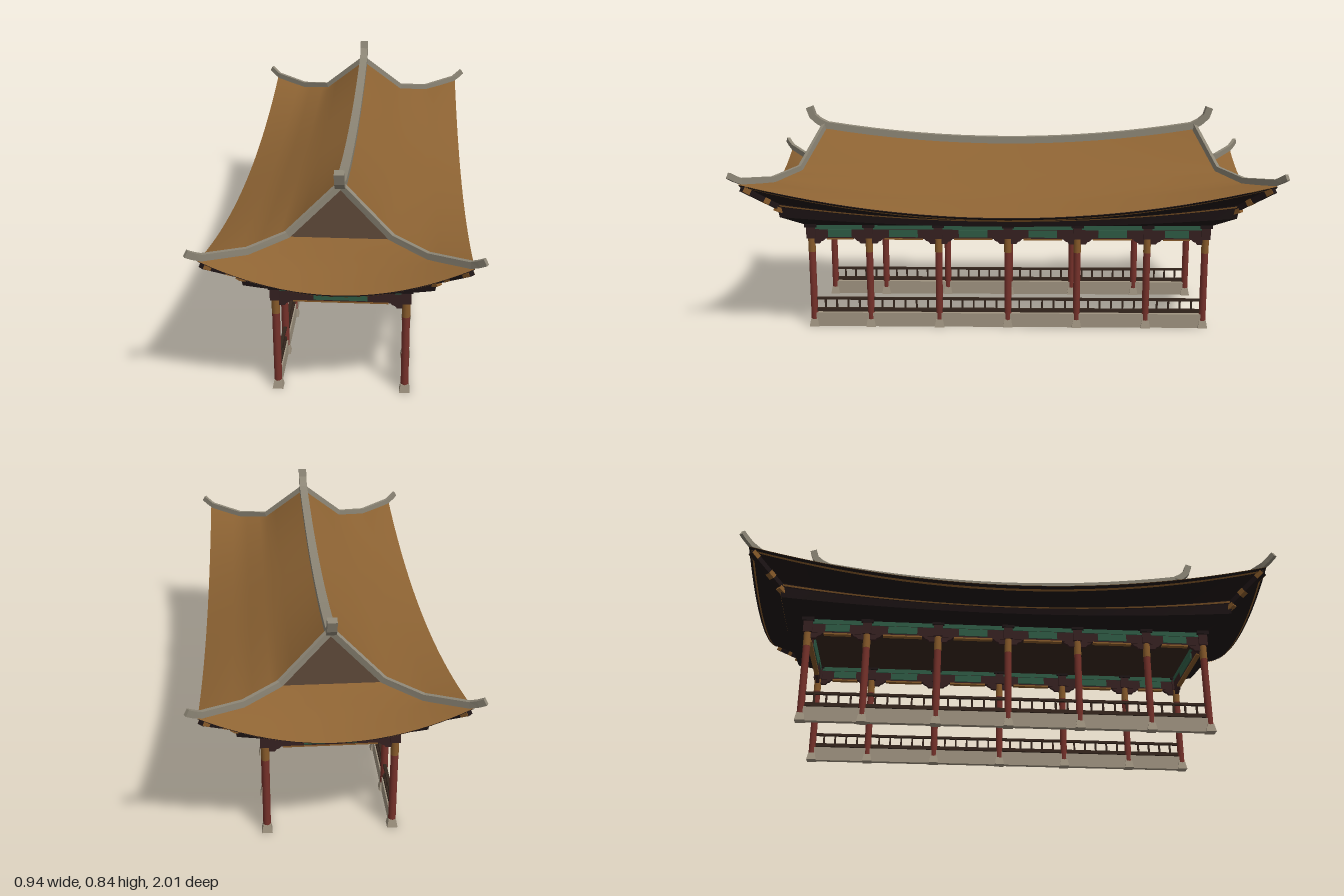
import * as THREE from 'three';

const mat = (name, color, side = THREE.FrontSide) => {
  const m = new THREE.MeshStandardMaterial({ color, side });
  m.name = name;
  return m;
};

export function createModel() {
  const root = new THREE.Group();
  root.name = 'pavilion';
  const M = {
    tile: mat('roof tile', 0x8d6333, THREE.DoubleSide),
    gable: mat('gable brown', 0x523f31, THREE.DoubleSide),
    ridge: mat('ridge grey', 0x8d8676),
    stone: mat('stone', 0x9f9380),
    red: mat('column red', 0x75312a),
    beam: mat('beam maroon', 0x352020),
    green: mat('painted green', 0x2e5a44),
    dark: mat('eave black brown', 0x1d1415, THREE.DoubleSide),
    gold: mat('gold trim', 0x875a2a, THREE.DoubleSide),
    timber: mat('dark timber', 0x35261d),
  };
  const add = (name, geo, material, x = 0, y = 0, z = 0, parent = root) => {
    const m = new THREE.Mesh(geo, material);
    m.name = name;
    m.position.set(x, y, z);
    parent.add(m);
    return m;
  };
  const box = (name, w, h, d, material, x, y, z, parent) =>
    add(name, new THREE.BoxGeometry(w, h, d), material, x, y, z, parent);

  // Surface from f(u, v) -> [x, y, z], u and v in 0..1
  const grid = (f, nu, nv) => {
    const pos = [], idx = [];
    for (let i = 0; i <= nu; i++) for (let j = 0; j <= nv; j++) pos.push(...f(i / nu, j / nv));
    for (let i = 0; i < nu; i++) for (let j = 0; j < nv; j++) {
      const a = i * (nv + 1) + j, b = a + nv + 1;
      idx.push(a, a + 1, b, b, a + 1, b + 1);
    }
    const g = new THREE.BufferGeometry();
    g.setAttribute('position', new THREE.Float32BufferAttribute(pos, 3));
    g.setIndex(idx);
    g.computeVertexNormals();
    return g;
  };

  // Rectangular bar swept along points; flat faced, closed at both ends
  const bar = (pts, w, h) => {
    const P = pts.map(p => new THREE.Vector3(...p)), up = new THREE.Vector3(0, 1, 0);
    const flat = P[P.length - 1].clone().sub(P[0]).setY(0).normalize();
    const side = up.clone().cross(flat).normalize();
    const rings = P.map((p, i) => {
      const t = P[Math.min(i + 1, P.length - 1)].clone().sub(P[Math.max(i - 1, 0)]).normalize();
      const n = t.clone().cross(side).normalize();
      return [[-1, -1], [1, -1], [1, 1], [-1, 1]].map(([a, b]) =>
        p.clone().addScaledVector(side, a * w / 2).addScaledVector(n, b * h / 2));
    });
    const pos = [];
    const quad = (a, b, c, d) => [a, b, c, a, c, d].forEach(v => pos.push(v.x, v.y, v.z));
    for (let i = 0; i + 1 < rings.length; i++) for (let k = 0; k < 4; k++) {
      const A = rings[i], B = rings[i + 1], l = (k + 1) % 4;
      quad(A[k], A[l], B[l], B[k]);
    }
    const S = rings[0], E = rings[rings.length - 1];
    quad(S[3], S[2], S[1], S[0]);
    quad(E[0], E[1], E[2], E[3]);
    const g = new THREE.BufferGeometry();
    g.setAttribute('position', new THREE.Float32BufferAttribute(pos, 3));
    g.computeVertexNormals();
    return g;
  };

  // Roof profile stations: x, hip z, hip y, long side middle y, short side middle y
  const hip = [[0, 0.73, 0.76, 0.7, 0.76], [0.17, 0.8, 0.61, 0.592, 0.61],
    [0.29, 0.878, 0.585, 0.53, 0.55], [0.43, 0.97, 0.6, 0.48, 0.493]];
  const station = (s) => {
    const i = Math.min(Math.floor(s), 2), f = s - i;
    return hip[i].map((a, k) => a + (hip[i + 1][k] - a) * f);
  };

  for (const s of [-1, 1]) {
    // Long slopes
    add('longRoofSlope', grid((u, v) => {
      const [x, z, ye, ym] = station(u * 3), t = v * 2 - 1;
      return [s * x, ym + (ye - ym) * t * t, s * z * t];
    }, 12, 32), M.tile);
    // Short end skirts
    add('endRoofSkirt', grid((u, v) => {
      const [x, z, ye, , ym] = station(1 + u * 2), t = v * 2 - 1;
      return [-s * x * t, ym + (ye - ym) * t * t, s * z];
    }, 8, 20), M.tile);
    // Leaning gable triangles
    const gable = new THREE.BufferGeometry();
    gable.setAttribute('position', new THREE.Float32BufferAttribute(
      [-0.17 * s, 0.608, 0.801 * s, 0.17 * s, 0.608, 0.801 * s, 0, 0.762, 0.731 * s], 3));
    gable.computeVertexNormals();
    add('gable', gable, M.gable);
    // Hip ridges with upturned tips
    for (const q of [-1, 1]) {
      add('hipRidge', bar([[0, 0.768, 0.73], [0.17, 0.618, 0.8], [0.29, 0.594, 0.878],
        [0.42, 0.611, 0.963], [0.442, 0.624, 0.98], [0.461, 0.638, 0.994]]
        .map(([x, y, z]) => [x * s, y, z * q]), 0.014, 0.023), M.ridge);
    }
  }

  // Main ridge, sagging in the middle with raised ends
  const ridgePts = [[0, 0.835, -0.792], [0, 0.8, -0.78], [0, 0.778, -0.755]];
  for (let i = 0; i <= 16; i++) {
    const t = i / 8 - 1;
    ridgePts.push([0, 0.705 + 0.058 * t * t, 0.725 * t]);
  }
  ridgePts.push([0, 0.778, 0.755], [0, 0.8, 0.78], [0, 0.835, 0.792]);
  add('mainRidge', bar(ridgePts, 0.033, 0.026), M.ridge);

  // Eave rings: half width, half depth, corner y, long middle y, short middle y
  const ringPoint = (r, k, t) => {
    const s = k < 2 ? 1 : -1, long = k % 2 === 0, m = long ? r[3] : r[4];
    const y = m + (r[2] - m) * t * t;
    return long ? [s * r[0], y, -s * r[1] * t] : [s * r[0] * t, y, s * r[1]];
  };
  const band = (name, a, b, material) => {
    for (let k = 0; k < 4; k++) {
      add(name, grid((u, v) => {
        const A = ringPoint(a, k, v * 2 - 1), B = ringPoint(b, k, v * 2 - 1);
        return A.map((c, i) => c + (B[i] - c) * u);
      }, 1, 24), material);
    }
  };
  const rings = [
    [0.43, 0.97, 0.598, 0.478, 0.491], [0.412, 0.952, 0.586, 0.466, 0.479],
    [0.325, 0.865, 0.51, 0.447, 0.468], [0.32, 0.86, 0.495, 0.442, 0.455],
    [0.314, 0.854, 0.455, 0.421, 0.432], [0.235, 0.775, 0.408, 0.406, 0.406],
  ];
  for (let i = 0; i < 5; i++) band('eaveSoffit', rings[i], rings[i + 1], M.dark);
  band('eaveGoldLine', [0.421, 0.961, 0.590, 0.470, 0.483], [0.414, 0.954, 0.585, 0.465, 0.478], M.gold);
  band('bracketGoldLine', [0.3255, 0.8655, 0.506, 0.446, 0.465], [0.323, 0.863, 0.499, 0.442, 0.458], M.gold);

  // Corner beams under the hips with gold ends
  for (const sx of [-1, 1]) for (const sz of [-1, 1]) {
    const corner = (name, pts, w, h, m) =>
      add(name, bar(pts.map(([x, y, z]) => [x * sx, y, z * sz]), w, h), m);
    corner('cornerBeam', [[0.24, 0.43, 0.78], [0.33, 0.508, 0.87], [0.42, 0.583, 0.96]], 0.02, 0.022, M.dark);
    corner('cornerBeamEnd', [[0.4, 0.568, 0.94], [0.418, 0.584, 0.958]], 0.024, 0.024, M.gold);
    corner('cornerBeamCollar', [[0.345, 0.521, 0.885], [0.36, 0.534, 0.9]], 0.024, 0.024, M.gold);
    corner('cornerBracketEnd', [[0.305, 0.478, 0.845], [0.325, 0.49, 0.865]], 0.022, 0.018, M.gold);
  }
  box('ceiling', 0.46, 0.008, 1.54, M.timber, 0, 0.411, 0);

  // Painted frieze spanning one bay along local x
  const bracketShape = new THREE.Shape();
  [[0, 0], [0.045, 0], [0.038, -0.008], [0.028, -0.012], [0.022, -0.02], [0, -0.02]]
    .forEach(([x, y], i) => (i ? bracketShape.lineTo(x, y) : bracketShape.moveTo(x, y)));
  const bracketGeo = new THREE.ExtrudeGeometry(bracketShape, { depth: 0.014, bevelEnabled: false });
  bracketGeo.translate(0, 0, -0.007);
  const frieze = (len, x, z, ry) => {
    const g = new THREE.Group();
    g.name = 'friezeBay';
    box('greenTopBeam', len - 0.03, 0.02, 0.024, M.green, 0, 0.4, 0, g);
    box('lowerBeam', len - 0.02, 0.037, 0.018, M.beam, 0, 0.3715, 0, g);
    box('goldStrip', len - 0.12, 0.006, 0.0185, M.gold, 0, 0.352, 0, g);
    for (const s of [-1, 1]) {
      box('greenPanel', len * 0.41, 0.028, 0.004, M.green, 0, 0.374, s * 0.0105, g);
      const b = add('cornerBracket', bracketGeo, M.beam, -s * (len / 2 - 0.01), 0.353, 0, g);
      if (s < 0) b.rotation.y = Math.PI;
    }
    g.position.set(x, 0, z);
    g.rotation.y = ry;
    root.add(g);
  };

  // Columns, plinths, railings and side friezes
  const CX = 0.222, colZ = [-0.757, -0.535, -0.267, 0, 0.267, 0.535, 0.757];
  const baseGeo = new THREE.CylinderGeometry(0.0185, 0.0265, 0.03, 4);
  baseGeo.rotateY(Math.PI / 4);
  const base = baseGeo.toNonIndexed();
  base.computeVertexNormals();
  const shaft = new THREE.CylinderGeometry(0.0135, 0.0135, 0.34, 12);
  const collar = new THREE.CylinderGeometry(0.0142, 0.0142, 0.055, 12);
  for (const s of [-1, 1]) {
    const x = s * CX;
    box('plinth', 0.02, 0.055, 1.53, M.stone, x, 0.0275, 0);
    colZ.forEach((z, i) => {
      add('columnBase', base, M.stone, x, 0.015, z);
      add('column', shaft, M.red, x, 0.19, z);
      add('columnGoldBand', collar, M.gold, x, 0.327, z);
      box('columnHead', 0.034, 0.055, 0.034, M.beam, x, 0.3825, z);
      box('columnHeadBracket', 0.046, 0.014, 0.046, M.dark, x, 0.406, z);
      if (i === 6) return;
      const len = colZ[i + 1] - z, mid = z + len / 2;
      frieze(len, x, mid, Math.PI / 2);
      box('lowerRail', 0.012, 0.014, len - 0.02, M.timber, x, 0.066, mid);
      box('topRail', 0.012, 0.009, len - 0.02, M.timber, x, 0.111, mid);
      const n = Math.round(len / 0.044);
      for (let k = 1; k < n; k++) {
        box('baluster', 0.007, 0.036, 0.007, M.timber, x, 0.09, z + len * k / n);
      }
    });
    frieze(CX * 2, 0, s * 0.757, 0);
  }
  return root;
}
